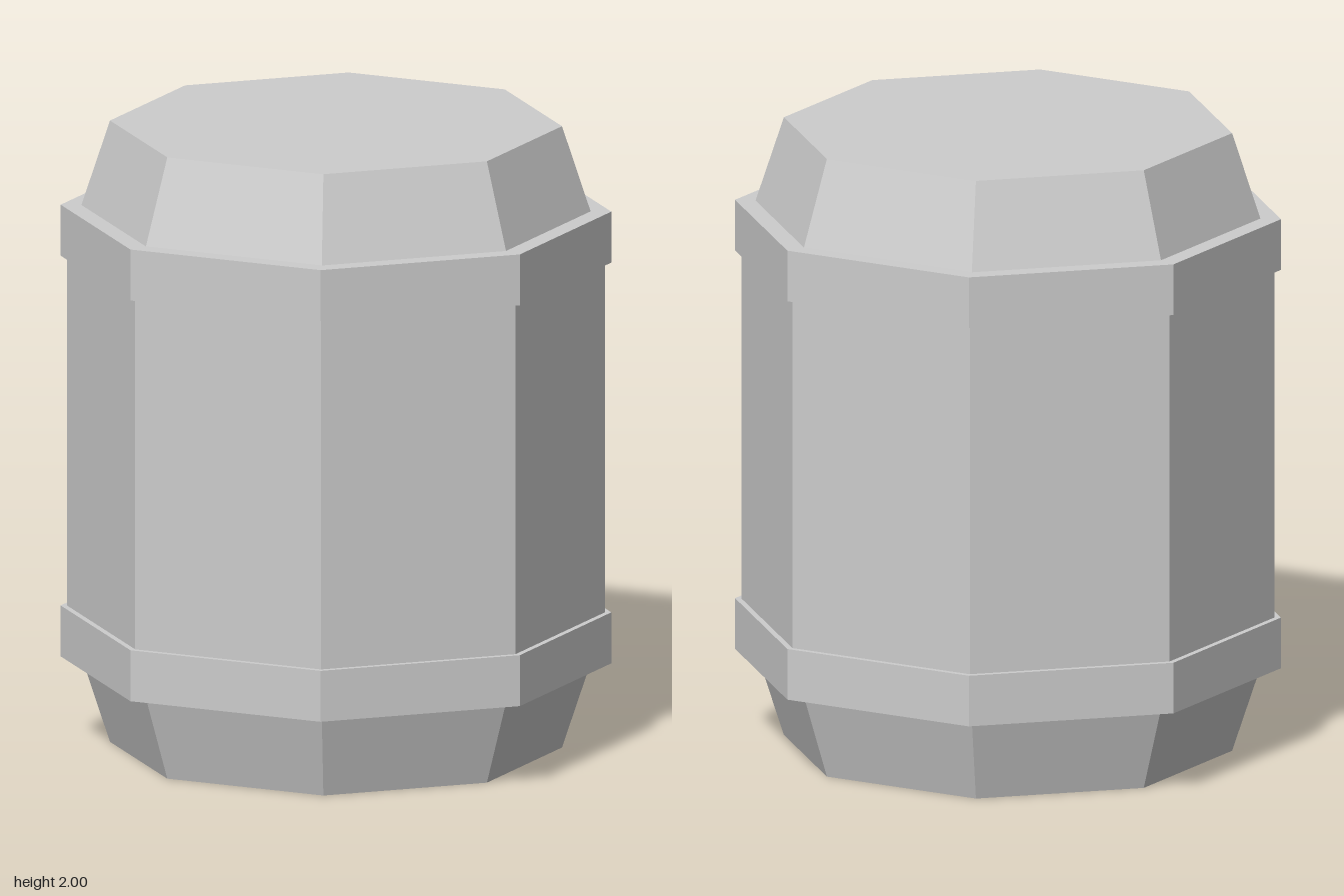
import * as THREE from 'three';

const SIDES = 8;

// Faceted octagonal solid from a bottom-to-top profile of [radius, height]
function facetedLathe(profile) {
  const points = profile.map(([r, y]) => new THREE.Vector2(r, y));
  const geometry = new THREE.LatheGeometry(points, SIDES).toNonIndexed();
  geometry.computeVertexNormals();
  return geometry;
}

export function createModel() {
  const model = new THREE.Group();
  model.name = 'barrel';

  const grey = new THREE.MeshStandardMaterial({ color: 0xcccccc });
  grey.name = 'light grey';

  function add(name, profile) {
    const mesh = new THREE.Mesh(facetedLathe(profile), grey);
    mesh.name = name;
    model.add(mesh);
  }

  // Body: straight staves with tapered ends and flat lids
  add('body', [
    [0, 0], [0.71, 0], [0.845, 0.41],
    [0.845, 1.59], [0.71, 2], [0, 2],
  ]);

  // Hoops: raised bands where the tapers begin
  const hoop = (y0, y1) => [[0.78, y0], [0.865, y0], [0.865, y1], [0.78, y1]];
  add('lowerHoop', hoop(0.273, 0.437));
  add('upperHoop', hoop(1.563, 1.727));

  return model;
}
